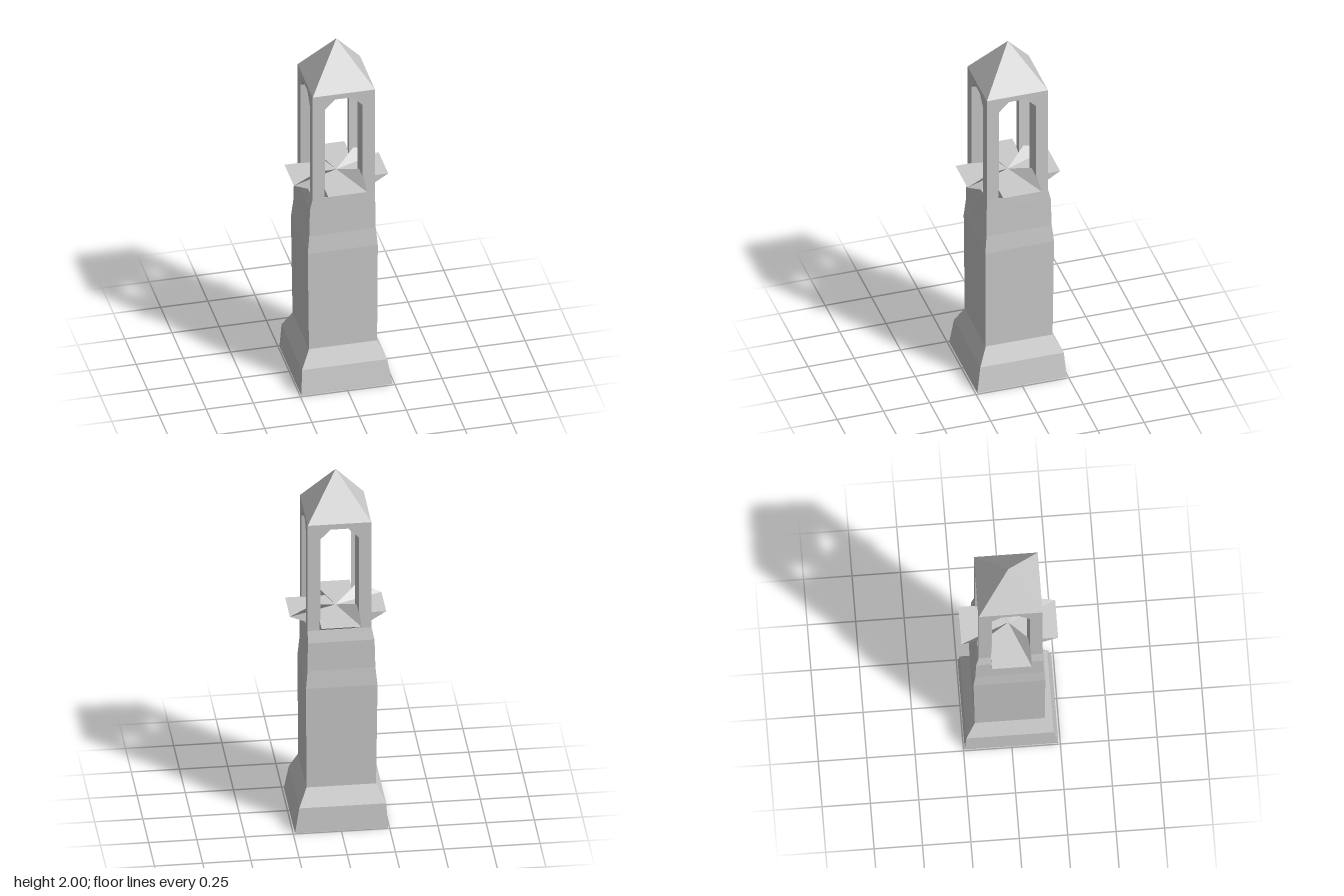
import * as THREE from 'three';
import { ConvexGeometry } from 'three/addons/geometries/ConvexGeometry.js';

const FLOOR = 1.145, SILL = 1.2, EAVES = 1.765, HALF = 0.165;

export function createModel() {
  const model = new THREE.Group();
  const stone = new THREE.MeshStandardMaterial({ color: 0xcccccc, flatShading: true });
  const thin = new THREE.MeshStandardMaterial({ color: 0xcccccc, flatShading: true, side: THREE.DoubleSide });

  function add(parent, name, geometry, material = stone) {
    const mesh = new THREE.Mesh(geometry, material);
    mesh.name = name;
    parent.add(mesh);
    return mesh;
  }

  // Tapering square shaft: [height, negative side, positive side]
  const rings = [
    [0, -0.243, 0.24], [0.14, -0.234, 0.217], [0.235, -0.187, 0.174], [0.82, -0.194, 0.177],
    [0.92, -0.184, 0.168], [1.08, -0.18, 0.166], [FLOOR, -HALF, HALF],
  ];
  const n = rings.length - 1;
  const shaft = new THREE.BoxGeometry(1, 1, 1, 1, n, 1);
  const p = shaft.attributes.position;
  for (let i = 0; i < p.count; i++) {
    const [y, lo, hi] = rings[Math.round((p.getY(i) + 0.5) * n)];
    p.setXYZ(i, p.getX(i) < 0 ? lo : hi, y, p.getZ(i) < 0 ? lo : hi);
  }
  shaft.computeVertexNormals();
  add(model, 'shaft', shaft);

  // Corner post: plan narrows towards the inside of the lantern
  const plan = new THREE.Shape([[HALF, -HALF], [HALF, -0.1], [0.09, -0.09], [0.1, -HALF]]
    .map(([x, y]) => new THREE.Vector2(x, y)));
  const post = new THREE.ExtrudeGeometry(plan, { depth: EAVES - FLOOR, bevelEnabled: false });
  post.rotateX(-Math.PI / 2).translate(0, FLOOR, 0);

  // Arch head with chamfered corners, mitred against the posts
  const head = new THREE.Shape([[-0.1, 1.68], [-0.045, 1.735], [0.045, 1.735], [0.1, 1.68], [0.1, EAVES], [-0.1, EAVES]]
    .map(([x, y]) => new THREE.Vector2(x, y)));
  const arch = new THREE.ExtrudeGeometry(head, { depth: 0.075, bevelEnabled: false });
  arch.translate(0, 0, 0.09);
  const a = arch.attributes.position;
  for (let i = 0; i < a.count; i++) if (a.getZ(i) < 0.1) a.setX(i, a.getX(i) * 0.9);
  arch.computeVertexNormals();

  // Projecting sill: flat top, sloping underside, one end cut on the diagonal
  const sill = new ConvexGeometry([
    [-0.103, SILL, 0.25], [0.103, SILL, 0.25], [0, SILL, 0], [-0.103, SILL, 0.042],
    [-0.103, FLOOR, 0.163], [0.067, FLOOR, 0.163], [0, FLOOR, 0], [-0.103, FLOOR, 0.042],
  ].map((v) => new THREE.Vector3(...v)));

  // Raised triangular fin along the cut end of the sill
  const fin = new THREE.BufferGeometry().setFromPoints([
    new THREE.Vector3(0, SILL, 0), new THREE.Vector3(0.103, SILL, 0.25), new THREE.Vector3(0.103, 1.265, 0.125),
  ]);
  fin.computeVertexNormals();

  for (let i = 0; i < 4; i++) {
    const side = new THREE.Group();
    side.name = 'lanternSide';
    side.rotation.y = i * Math.PI / 2;
    add(side, 'post', post);
    add(side, 'archHead', arch);
    add(side, 'sill', sill);
    add(side, 'sillFin', fin, thin);
    model.add(side);
  }

  // Pyramid roof
  const roof = new THREE.ConeGeometry(HALF * Math.SQRT2, 2 - EAVES, 4);
  roof.rotateY(Math.PI / 4).translate(0, (2 + EAVES) / 2, 0);
  add(model, 'roof', roof);

  return model;
}
